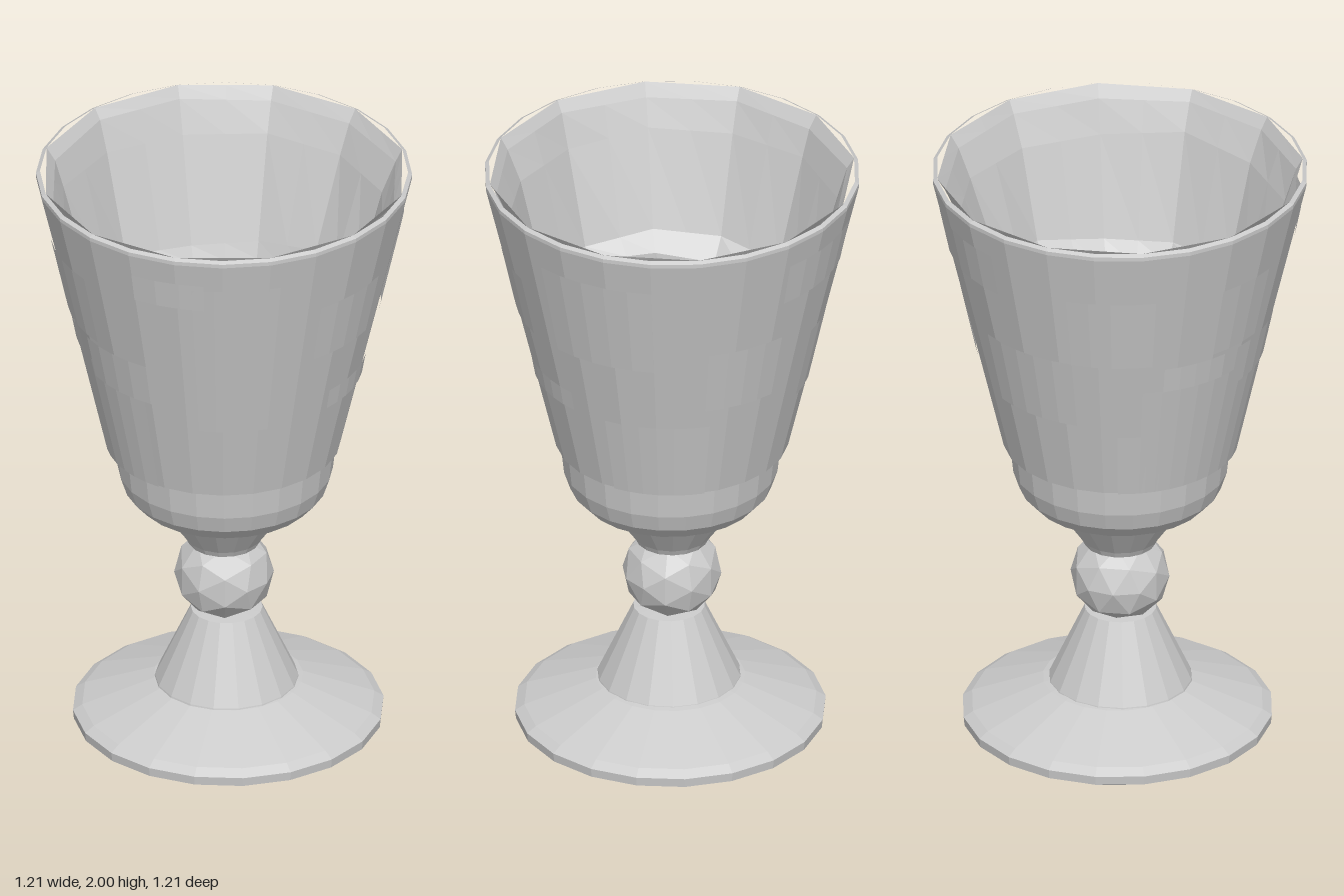
import * as THREE from 'three';

const SIDES = 24;
const grey = new THREE.MeshStandardMaterial({ color: 0xcccccc, flatShading: true });
const greyThin = new THREE.MeshStandardMaterial({ color: 0xcccccc, flatShading: true, side: THREE.DoubleSide });

// Small seeded random in -1..1
let seed = 7;
const rnd = () => {
  seed = (seed * 16807) % 2147483647;
  return (seed / 2147483647) * 2 - 1;
};

function add(group, name, geometry, material = grey) {
  const mesh = new THREE.Mesh(geometry, material);
  mesh.name = name;
  group.add(mesh);
  return mesh;
}

const lathe = (profile, sides = SIDES) =>
  new THREE.LatheGeometry(profile.map(([r, y]) => new THREE.Vector2(r, y)), sides);

// Outer wall radius of the cup at height y
const wallRadius = y => 0.375 + (y - 1.02) * (0.603 - 0.375) / 0.96;

// Hollow of the cup: a 12-sided, stepped well that narrows to a square floor
function hollowGeometry() {
  // radius, height, unevenness, squareness
  const rings = [
    [0.59, 2.0, 0, 0], [0.565, 1.96, 0.004, 0], [0.525, 1.86, 0.012, 0],
    [0.43, 1.53, 0.02, 0], [0.385, 1.47, 0.02, 0], [0.345, 1.22, 0.02, 0],
    [0.29, 1.15, 0.02, 0.3], [0.25, 0.96, 0.012, 0.6], [0.185, 0.91, 0, 1], [0, 0.91, 0, 1],
  ];
  const positions = [], index = [];
  const step = Math.PI * 2 / SIDES;
  rings.forEach(([r, y, rough, square]) => {
    // Corners of the 12-sided section; the points between lie on its flats
    const corners = Array.from({ length: 12 }, () => [r + rough * rnd(), y + rough * 1.5 * rnd()]);
    for (let i = 0; i < SIDES; i++) {
      const a = i * step;
      const k = Math.floor((i + 23) / 2) % 12, n = (k + 1) % 12;
      const flat = i % 2 === 0;
      const radius = flat ? (corners[k][0] + corners[n][0]) / 2 * Math.cos(step) : corners[k][0];
      const height = flat ? (corners[k][1] + corners[n][1]) / 2 : corners[k][1];
      const box = r / Math.max(Math.abs(Math.sin(a)), Math.abs(Math.cos(a)));
      const d = THREE.MathUtils.lerp(radius, box, square);
      positions.push(Math.sin(a) * d + square * 0.015, height, Math.cos(a) * d + square * 0.01);
    }
  });
  for (let j = 0; j < rings.length - 1; j++) {
    for (let i = 0; i < SIDES; i++) {
      const n = (i + 1) % SIDES;
      const a = j * SIDES + i, b = j * SIDES + n;
      index.push(a, b, a + SIDES, b, b + SIDES, a + SIDES);
    }
  }
  const g = new THREE.BufferGeometry();
  g.setAttribute('position', new THREE.Float32BufferAttribute(positions, 3));
  g.setIndex(index);
  g.computeVertexNormals();
  return g;
}

export function createModel() {
  seed = 7;
  const goblet = new THREE.Group();
  goblet.name = 'goblet';

  // Foot: shallow cone on a thin rim, with a small pit underneath
  const foot = add(goblet, 'foot', lathe([
    [0, 0.07], [0.1, 0.02], [0.3, 0.012], [0.46, 0], [0.497, 0.02],
    [0.5, 0.05], [0.47, 0.07], [0.24, 0.155], [0.21, 0.16],
  ], 20));
  foot.position.set(0.01, 0, -0.01);

  // Flared stem
  const stem = add(goblet, 'stem', lathe([[0.235, 0.14], [0.23, 0.16], [0.115, 0.41], [0, 0.42]], 18));
  stem.position.x = 0.01;

  // Faceted knob, flattened above and below
  const knobGeometry = new THREE.IcosahedronGeometry(0.16, 1);
  const p = knobGeometry.attributes.position;
  for (let i = 0; i < p.count; i++) p.setY(i, THREE.MathUtils.clamp(p.getY(i), -0.12, 0.13));
  add(goblet, 'knob', knobGeometry).position.y = 0.535;

  // Collar between knob and cup
  add(goblet, 'collar', lathe([[0, 0.65], [0.115, 0.65], [0.125, 0.67], [0.21, 0.79], [0.21, 0.81]], 16));

  // Rounded base of the cup
  add(goblet, 'cupBase', lathe([
    [0, 0.795], [0.23, 0.797], [0.285, 0.815], [0.325, 0.86], [0.345, 0.92], [0.357, 1.03],
  ])).position.x = 0.005;

  // Tapered cup wall with a small lip at top and bottom
  add(goblet, 'cupWall', lathe([
    [0.34, 1.02], [0.375, 1.02], [wallRadius(1.5), 1.5], [0.603, 1.98], [0.603, 1.993], [0.59, 2.0],
  ]));
  add(goblet, 'cupHollow', hollowGeometry(), greyThin);

  // Shallow worn slabs on the cup wall: [angle, arc, bottom, top], in degrees and height
  const slabs = [
    [-38, 30, 1.54, 1.79], [-52, 26, 1.43, 1.52], [-38, 70, 1.02, 1.43], [-12, 40, 1.37, 1.52],
    [12, 24, 1.8, 1.9], [38, 36, 1.29, 1.88], [80, 30, 1.54, 1.75], [95, 34, 1.3, 1.37],
    [130, 40, 1.54, 1.87], [150, 45, 1.02, 1.3], [185, 30, 1.37, 1.6], [215, 36, 1.75, 1.9],
    [240, 40, 1.29, 1.54], [275, 30, 1.54, 1.8], [290, 26, 1.02, 1.25],
  ];
  const slabGroup = new THREE.Group();
  slabGroup.name = 'wallSlabs';
  goblet.add(slabGroup);
  for (const [angle, arc, low, high] of slabs) {
    const from = THREE.MathUtils.degToRad(angle - arc / 2);
    const g = new THREE.CylinderGeometry(wallRadius(high) + 0.001, wallRadius(low) + 0.005,
      high - low, Math.ceil(arc / 8), 1, true, from, THREE.MathUtils.degToRad(arc));
    add(slabGroup, 'wallSlab', g, greyThin).position.y = (low + high) / 2;
  }
  return goblet;
}
